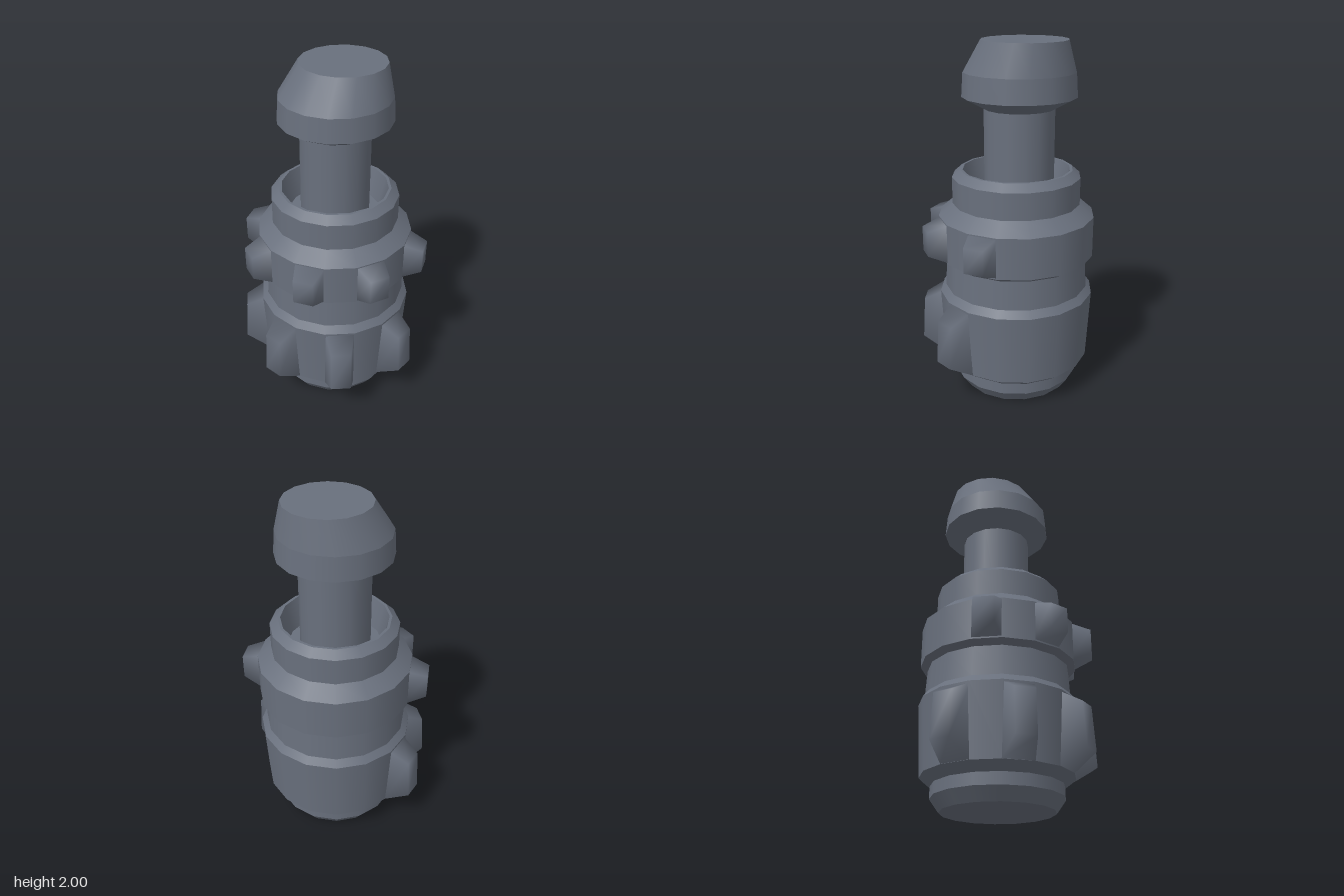
import * as THREE from 'three';
import { mergeGeometries, mergeVertices } from 'three/addons/utils/BufferGeometryUtils.js';

const SIDES = 16;
const AXIS_X = 0.055;

// Turned part with creased bands: each pair of [radius, y] points is its own band
function turned(profile) {
  const bands = [];
  for (let i = 0; i < profile.length - 1; i++) {
    const pts = [profile[i], profile[i + 1]].map(([r, y]) => new THREE.Vector2(r, y));
    bands.push(new THREE.LatheGeometry(pts, SIDES));
  }
  return mergeGeometries(bands);
}

// Tapered tooth pointing to +z, smooth shaded, open at its hidden root
function toothGeometry({ y0, y1, tipY0, tipY1, tipR0, tipR1 }) {
  let g = new THREE.BoxGeometry(2, 2, 2);
  g.deleteAttribute('uv');
  g.deleteAttribute('normal');
  g = mergeVertices(g);
  const p = g.attributes.position;
  for (let i = 0; i < p.count; i++) {
    const top = p.getY(i) > 0;
    const side = Math.sign(p.getX(i));
    if (p.getZ(i) > 0) p.setXYZ(i, side * 0.056, top ? tipY1 : tipY0, top ? tipR1 : tipR0);
    else p.setXYZ(i, side * 0.085, top ? y1 : y0, 0.41);
  }
  g.setIndex(Array.from(g.index.array).slice(0, 30));
  g.computeVertexNormals();
  return g;
}

export function createModel() {
  const model = new THREE.Group();
  const slate = new THREE.MeshStandardMaterial({ color: 0x69707d });
  slate.name = 'slate grey';

  const add = (name, geometry, x = 0, z = 0, parent = model) => {
    const mesh = new THREE.Mesh(geometry, slate);
    mesh.name = name;
    mesh.position.set(x, 0, z);
    parent.add(mesh);
    return mesh;
  };

  // Stepped body
  add('foot', turned([[0, 0], [0.31, 0], [0.36, 0.07], [0.36, 0.135]]), AXIS_X);
  add('lowerRing', turned([[0.36, 0.135], [0.42, 0.18], [0.442, 0.58], [0.41, 0.62]]), AXIS_X);
  add('neck', turned([[0.41, 0.62], [0.4, 0.785]]), AXIS_X);
  add('upperRing', turned([[0.4, 0.785], [0.44, 0.81], [0.44, 1.04], [0.36, 1.11]]), AXIS_X);
  // Collar with a recessed cup around the stem
  add('collar', turned([[0.36, 1.11], [0.36, 1.26], [0.315, 1.3], [0.3, 1.3],
    [0.26, 1.14], [0, 1.14]]), AXIS_X);

  // Teeth alternate between the two rings, one on each facet of the arc
  const lowerTooth = toothGeometry({ y0: 0.18, y1: 0.58, tipY0: 0.265, tipY1: 0.51, tipR0: 0.55, tipR1: 0.535 });
  const upperTooth = toothGeometry({ y0: 0.81, y1: 1.04, tipY0: 0.86, tipY1: 1.0, tipR0: 0.533, tipR1: 0.533 });
  const teeth = new THREE.Group();
  teeth.name = 'teeth';
  teeth.position.x = AXIS_X;
  model.add(teeth);
  for (let i = 0; i < 10; i++) {
    const angle = THREE.MathUtils.degToRad(56.25 + 22.5 * i);
    const upper = i % 2 === 0;
    const tooth = add(upper ? 'upperTooth' : 'lowerTooth', upper ? upperTooth : lowerTooth, 0, 0, teeth);
    tooth.rotation.y = Math.PI / 2 - angle;
  }

  // Stem and head, the head's crown leaning to one side
  add('stem', turned([[0.196, 1.13], [0.196, 1.635]]), 0.065, -0.013);
  add('headBase', turned([[0.196, 1.635], [0.315, 1.7], [0.306, 1.83]]), 0.066, -0.013);
  const crown = turned([[0.306, 1.83], [0.234, 2], [0, 2]]);
  const lean = 0.28;
  crown.translate(0, -1.83, 0);
  crown.applyMatrix4(new THREE.Matrix4().makeShear(0, 0, lean, 0, 0, 0));
  crown.translate(0, 1.83, 0);
  add('headCrown', crown, 0.066, -0.013);

  return model;
}
